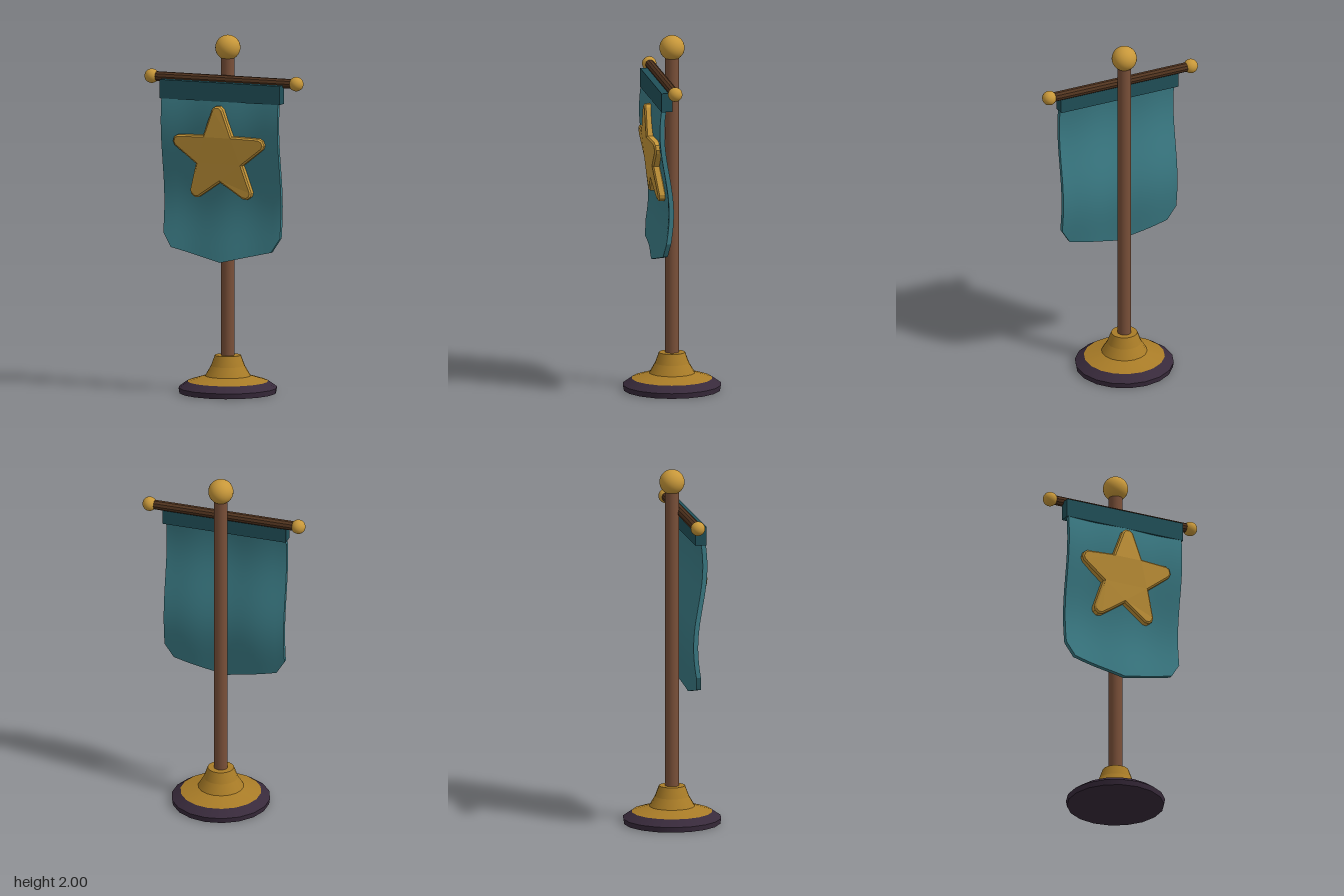
import * as THREE from 'three';

const mat = (name, color) => {
  const m = new THREE.MeshStandardMaterial({ color });
  m.name = name;
  return m;
};

// Gentle wave of the hanging cloth
const wave = (y) => 0.083 + 0.026 * Math.cos((Math.PI * (y - 1.52)) / 0.46);
const ripple = (x) => 0.005 * Math.cos((2 * Math.PI * x) / 0.38);

// Lower outline: shallow point with clipped corners
const hem = (x) => {
  const a = Math.abs(x);
  return a < 0.3 ? 0.74 + (a / 0.3) * 0.07 : 0.81 + ((a - 0.3) / 0.05) * 0.08;
};

// Moves every vertex of a geometry by a rule
function deform(geometry, rule) {
  const p = geometry.attributes.position;
  const v = new THREE.Vector3();
  for (let i = 0; i < p.count; i++) {
    rule(v.fromBufferAttribute(p, i));
    p.setXYZ(i, v.x, v.y, v.z);
  }
  geometry.computeVertexNormals();
  return geometry;
}

// Five-pointed star with blunt tips
function starShape() {
  const pts = [];
  for (let i = 0; i < 5; i++) {
    const a = Math.PI / 2 + (i * Math.PI * 2) / 5;
    const b = a + Math.PI / 5;
    for (const [r, off] of [[0.262, -0.024], [0.274, -0.01], [0.274, 0.01], [0.262, 0.024]]) {
      pts.push(new THREE.Vector2(
        r * Math.cos(a) - off * Math.sin(a),
        r * Math.sin(a) + off * Math.cos(a)));
    }
    pts.push(new THREE.Vector2(0.135 * Math.cos(b), 0.135 * Math.sin(b)));
  }
  return new THREE.Shape(pts);
}

export function createModel() {
  const group = new THREE.Group();
  const gold = mat('gold', 0xc8983a);
  const brass = mat('darkGold', 0xa97c27);
  const wood = mat('wood', 0x7a5039);
  const darkWood = mat('darkWood', 0x51341f);
  const teal = mat('teal', 0x3b7c86);
  const darkTeal = mat('darkTeal', 0x205059);
  const plum = mat('plum', 0x382a3b);

  const add = (name, geometry, material, x = 0, y = 0, z = 0) => {
    const mesh = new THREE.Mesh(geometry, material);
    mesh.name = name;
    mesh.position.set(x, y, z);
    group.add(mesh);
    return mesh;
  };
  const cone = (name, rTop, rBottom, y0, y1, material, open = false) =>
    add(name, new THREE.CylinderGeometry(rTop, rBottom, y1 - y0, 18, 1, open), material, 0, (y0 + y1) / 2, 0);

  // Stepped foot
  cone('baseRim', 0.275, 0.27, 0, 0.03, plum);
  cone('baseBevel', 0.225, 0.275, 0.03, 0.065, plum);
  cone('baseSlope', 0.127, 0.225, 0.065, 0.095, brass);
  cone('baseCollarLower', 0.095, 0.127, 0.095, 0.15, brass, true);
  cone('baseCollarUpper', 0.073, 0.095, 0.15, 0.21, brass);

  // Pole and finial
  add('pole', new THREE.CylinderGeometry(0.038, 0.038, 1.7, 20), wood, 0, 1.04, 0);
  add('finial', new THREE.SphereGeometry(0.07, 28, 20), gold, 0, 1.93, 0);

  // Crossbar with end knobs
  const barMat = darkWood;
  barMat.flatShading = true;
  const bar = add('crossbar', new THREE.CylinderGeometry(0.027, 0.027, 0.84, 10), barMat, 0, 1.755, 0.055);
  bar.rotation.z = Math.PI / 2;
  for (const s of [-1, 1]) {
    add(s > 0 ? 'leftKnob' : 'rightKnob', new THREE.SphereGeometry(0.04, 24, 16), gold, s * 0.434, 1.755, 0.055);
  }

  // Sleeve that holds the cloth to the bar
  add('sleeve', new THREE.BoxGeometry(0.72, 0.105, 0.062), darkTeal, 0, 1.694, 0.088);

  // Waving cloth
  const cloth = deform(new THREE.BoxGeometry(0.7, 1, 0.026, 28, 28, 1), (v) => {
    const low = hem(v.x);
    v.y = low + (v.y + 0.5) * (1.73 - low);
    v.z += wave(v.y) + ripple(v.x);
  });
  add('cloth', cloth, teal);

  // Raised star bent along the cloth
  const star = new THREE.ExtrudeGeometry(starShape(), {
    depth: 0.03, bevelEnabled: true, bevelThickness: 0.008, bevelSize: 0.009, bevelOffset: 0, bevelSegments: 1,
  });
  deform(star, (v) => {
    v.y += 1.335;
    v.z += wave(v.y) + 0.016 - 0.19 * v.x * v.x;
  });
  add('star', star, gold);

  return group;
}
